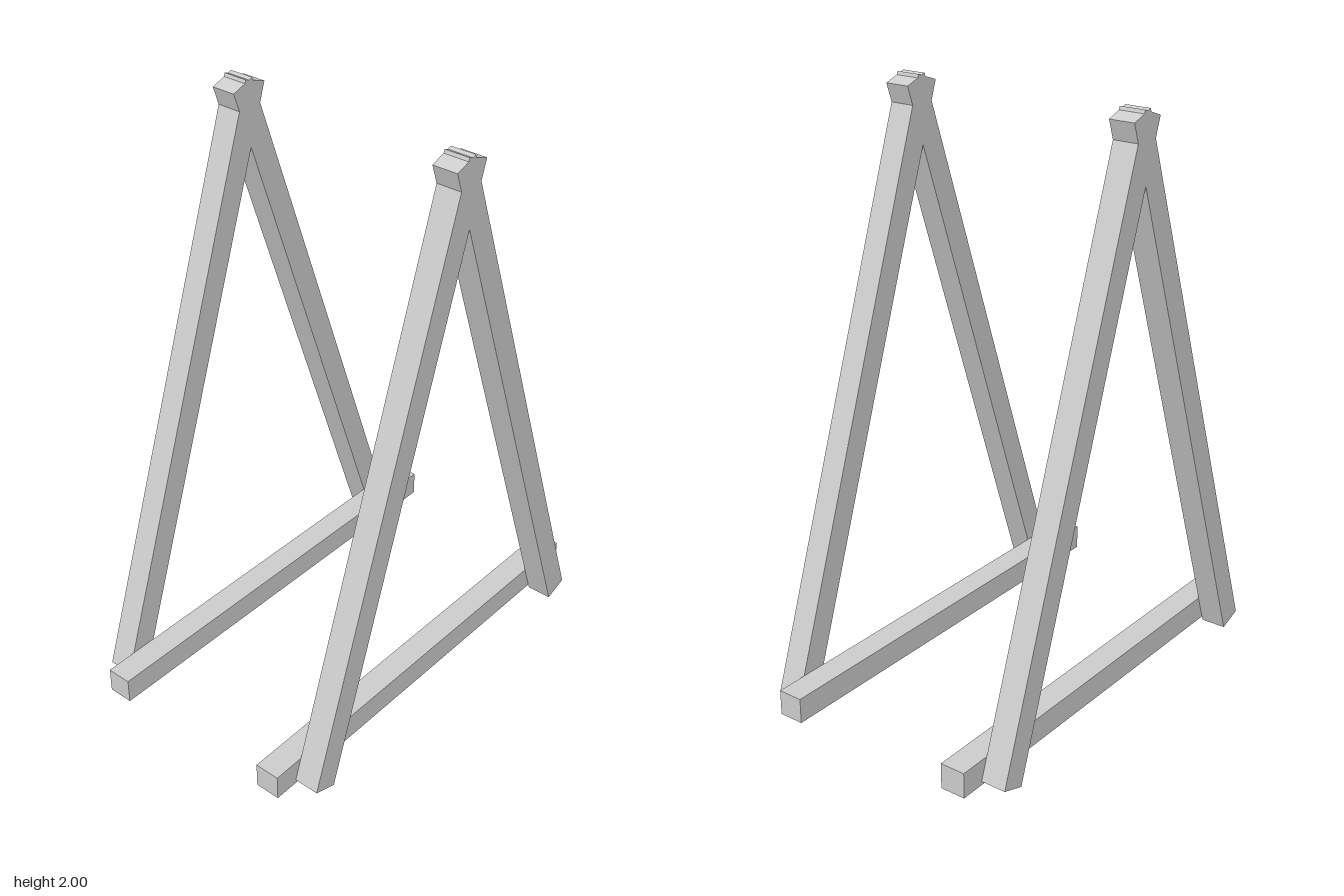
import * as THREE from 'three';

const BEAM = 0.089;                        // square timber section
const LEG_LENGTH = 2.086;
const LEAN = THREE.MathUtils.degToRad(19);

export function createModel() {
  const model = new THREE.Group();
  const material = new THREE.MeshStandardMaterial({ color: 0xcccccc, flatShading: true });
  const legGeometry = new THREE.BoxGeometry(BEAM, LEG_LENGTH, BEAM);
  const railGeometry = new THREE.BoxGeometry(BEAM, BEAM, 1.56);

  for (const [side, s] of [['left', 1], ['right', -1]]) {
    const frame = new THREE.Group();
    frame.name = side + 'Frame';

    // Two legs crossing at the top
    for (const [end, d] of [['Front', 1], ['Back', -1]]) {
      const leg = new THREE.Mesh(legGeometry, material);
      leg.name = side + end + 'Leg';
      leg.position.set(s * 0.429, 1, d * 0.312);
      leg.rotation.x = -d * LEAN;
      frame.add(leg);
    }

    // Bottom rail fixed to the inner face of the legs
    const rail = new THREE.Mesh(railGeometry, material);
    rail.name = side + 'BottomRail';
    rail.position.set(s * (0.429 - BEAM), 0.06, 0);
    frame.add(rail);

    model.add(frame);
  }
  return model;
}
